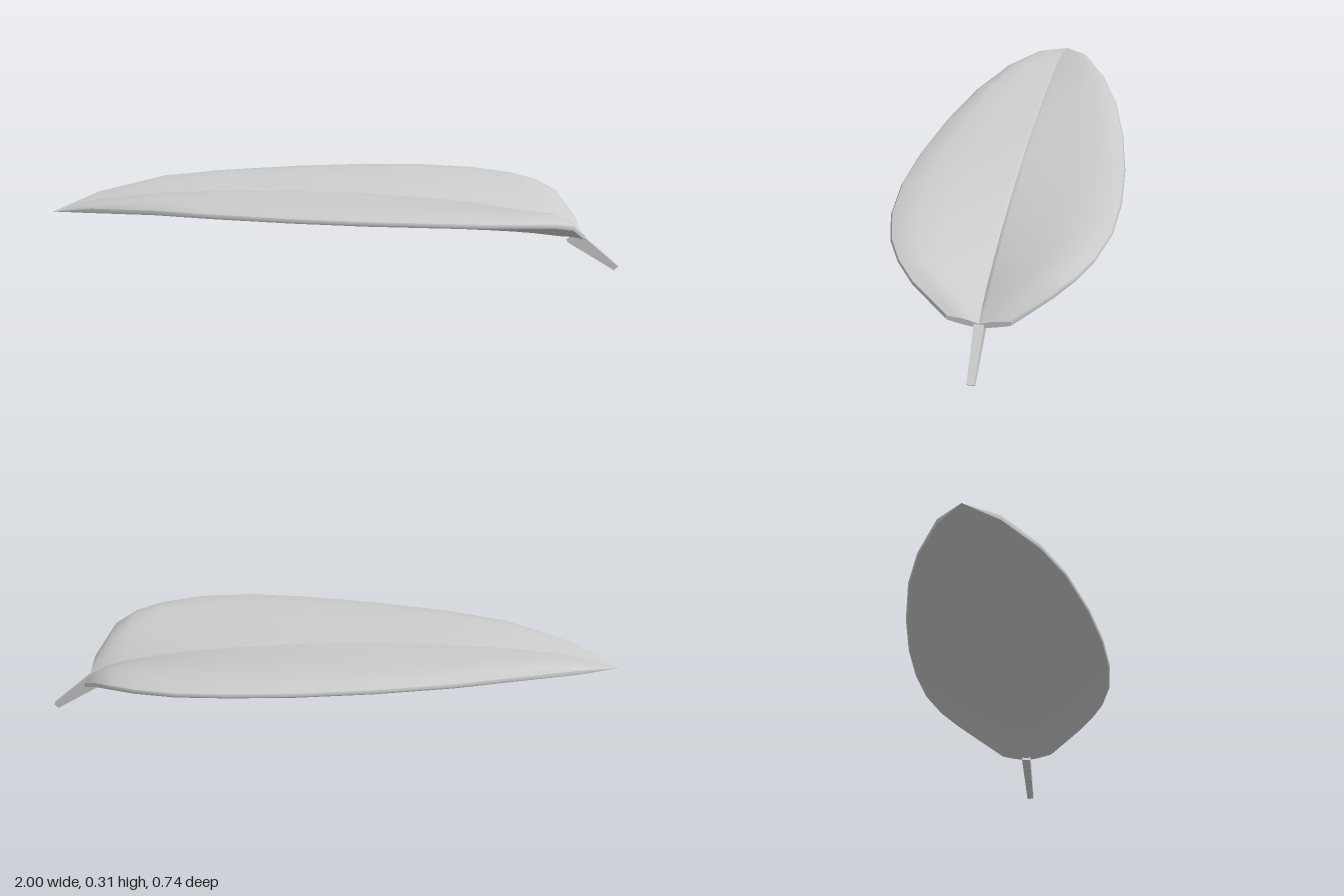
import * as THREE from 'three';

const material = new THREE.MeshStandardMaterial({ color: 0xcccccc, side: THREE.DoubleSide });

// Stations from tip to base: x, half width, midrib y, crest y, margin y, keel y
const stations = [
  [-1.0, 0.001, 0.21, 0.21, 0.21, 0.208],
  [-0.85, 0.1, 0.255, 0.262, 0.243, 0.238],
  [-0.62, 0.2, 0.28, 0.302, 0.267, 0.245],
  [-0.42, 0.265, 0.288, 0.305, 0.274, 0.236],
  [-0.15, 0.322, 0.29, 0.307, 0.277, 0.22],
  [0.1, 0.357, 0.28, 0.306, 0.278, 0.202],
  [0.32, 0.37, 0.26, 0.3, 0.277, 0.182],
  [0.5, 0.36, 0.236, 0.292, 0.27, 0.16],
  [0.64, 0.325, 0.207, 0.28, 0.26, 0.141],
  [0.73, 0.28, 0.186, 0.265, 0.247, 0.13],
  [0.8, 0.22, 0.166, 0.23, 0.222, 0.122],
  [0.86, 0.1, 0.138, 0.154, 0.15, 0.122],
];

// Smooth surface through rows of points; mirrored sides reverse the winding
function grid(rows, side) {
  const n = rows[0].length;
  const pos = rows.flat().flatMap(([x, y, z]) => [x, y, z * side]);
  const index = [];
  for (let i = 0; i < rows.length - 1; i++) {
    for (let j = 0; j < n - 1; j++) {
      const a = i * n + j, b = a + 1, c = a + n, d = c + 1;
      if (side > 0) index.push(a, b, c, b, d, c);
      else index.push(a, c, b, b, c, d);
    }
  }
  const geo = new THREE.BufferGeometry();
  geo.setAttribute('position', new THREE.Float32BufferAttribute(pos, 3));
  geo.setIndex(index);
  geo.computeVertexNormals();
  return geo;
}

const mix = THREE.MathUtils.lerp;

// Upper section: midrib groove, rise to the crest, then curl down to the margin
function topRow([x, w, mid, crest, margin]) {
  const rim = margin + Math.min(0.008, w * 0.1);
  const shoulder = Math.min(0.015, w * 0.15);
  return [
    [x, mid, 0],
    [x, mix(mid, crest, 0.22), shoulder],
    [x, mix(mid, crest, 0.55), w * 0.3],
    [x, mix(mid, crest, 0.85), w * 0.52],
    [x, crest, w * 0.74],
    [x, mix(crest, rim, 0.35), w * 0.9],
    [x, rim, w * 0.985],
  ];
}

// Lower section: margin back to the keel
function bottomRow([x, w, , , margin, keel]) {
  const rim = margin - Math.min(0.008, w * 0.1);
  return [0.985, 0.9, 0.74, 0.52, 0.3, 0.12, 0].map((f) => {
    const t = f / 0.985;
    return [x, mix(keel, rim, t) - 0.02 * w * Math.sin(Math.PI * t), w * f];
  });
}

// Narrow rounded rim between the two surfaces
function rimRow(s) {
  const top = topRow(s).at(-1), bottom = bottomRow(s)[0];
  return [top, [s[0], s[4], s[1]], bottom];
}

export function createModel() {
  const model = new THREE.Group();
  model.name = 'leaf';
  const add = (geo, name) => {
    const mesh = new THREE.Mesh(geo, material);
    mesh.name = name;
    model.add(mesh);
  };

  // Two mirrored halves, creased along the midrib and keel
  for (const [side, label] of [[1, 'left'], [-1, 'right']]) {
    add(grid(stations.map(topRow), side), label + 'BladeTop');
    add(grid(stations.map(rimRow), side), label + 'BladeMargin');
    add(grid(stations.map(bottomRow), side), label + 'BladeUnderside');
    const last = stations.at(-1);
    const end = [topRow(last), bottomRow(last).reverse()];
    add(grid(end, side), label + 'BladeBaseEnd');
  }

  // Tapered square stalk sloping down from the base
  const stalk = new THREE.BoxGeometry(2, 2, 2);
  const p = stalk.attributes.position;
  for (let i = 0; i < p.count; i++) {
    const outer = p.getX(i) > 0, upper = p.getY(i) > 0, z = Math.sign(p.getZ(i));
    if (outer) p.setXYZ(i, upper ? 1 : 0.985, upper ? 0.014 : 0, z * 0.012);
    else p.setXYZ(i, upper ? 0.855 : 0.815, upper ? 0.14 : 0.106, z * 0.016);
  }
  stalk.computeVertexNormals();
  add(stalk, 'stalk');

  return model;
}
